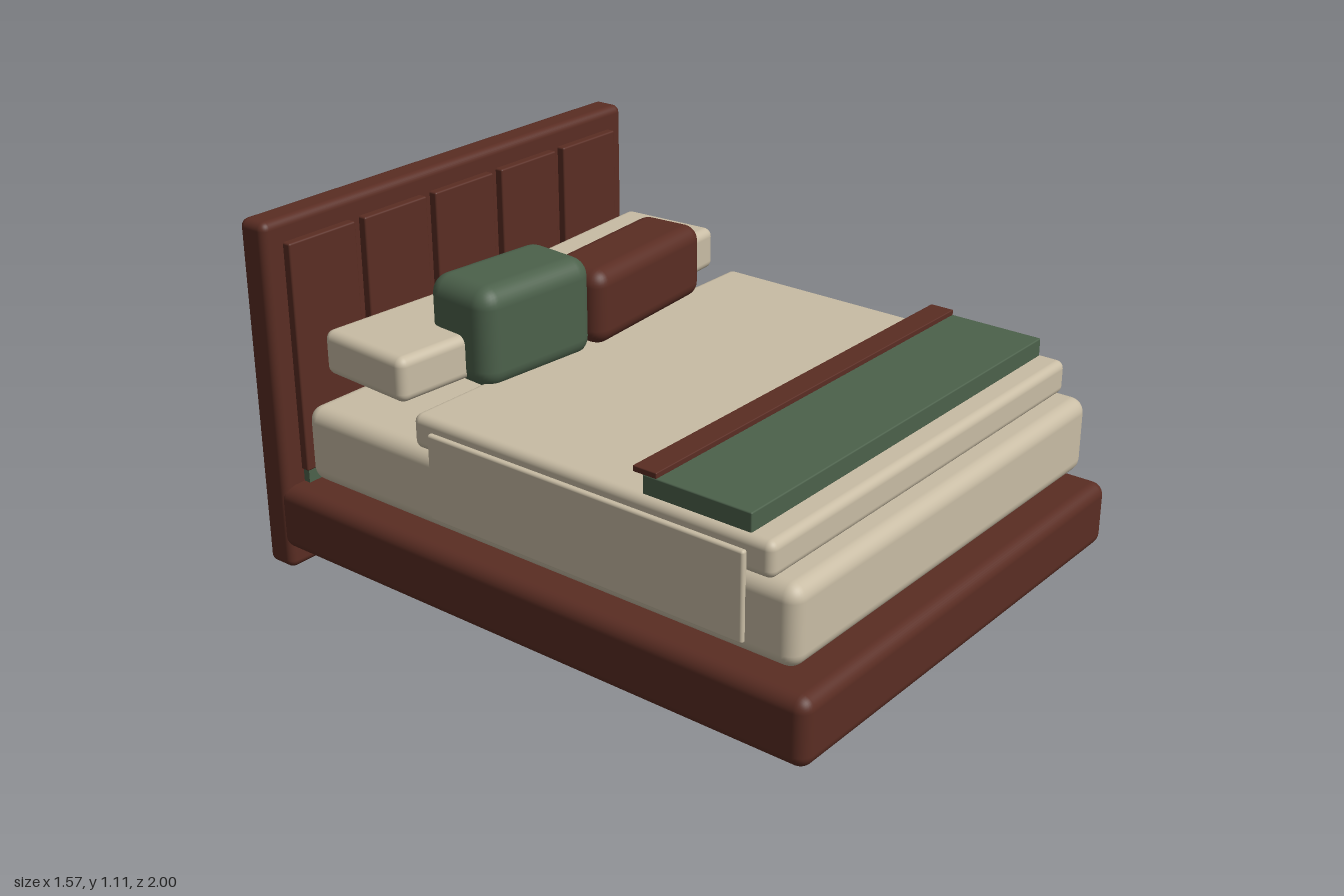
import * as THREE from 'three';
import { RoundedBoxGeometry } from 'three/addons/geometries/RoundedBoxGeometry.js';

const wood = new THREE.MeshStandardMaterial({ name: 'redBrown', color: 0x5a2d23 });
const linen = new THREE.MeshStandardMaterial({ name: 'cream', color: 0xc8bca4 });
const green = new THREE.MeshStandardMaterial({ name: 'mossGreen', color: 0x4c614b });

export function createModel() {
  const bed = new THREE.Group();
  bed.name = 'bed';

  // Box given by its extents on each axis, with rounded edges when r > 0
  function block(name, material, [x0, x1], [y0, y1], [z0, z1], r = 0, turn = 0) {
    const size = [x1 - x0, y1 - y0, z1 - z0];
    const geometry = r ? new RoundedBoxGeometry(...size, 4, r) : new THREE.BoxGeometry(...size);
    const mesh = new THREE.Mesh(geometry, material);
    mesh.name = name;
    mesh.position.set((x0 + x1) / 2, (y0 + y1) / 2, (z0 + z1) / 2);
    mesh.rotation.y = turn;
    bed.add(mesh);
    return mesh;
  }

  // Frame and headboard
  block('base', wood, [-0.785, 0.785], [0.068, 0.275], [-0.94, 1], 0.04);
  block('headboard', wood, [-0.785, 0.785], [0, 1.105], [-1, -0.895], 0.025);
  block('headboardRail', green, [-0.71, 0.71], [0.26, 0.33], [-0.9, -0.872]);
  for (let i = -2; i <= 2; i++) {
    const x = i * 0.294;
    block('headboardPanel', wood, [x - 0.128, x + 0.128], [0.315, 1.035], [-0.905, -0.868], 0.006);
  }

  // Feet
  for (const x of [-0.61, 0.61]) {
    for (const z of [-0.735, 0.74]) {
      const foot = new THREE.Mesh(new THREE.CylinderGeometry(0.036, 0.036, 0.09, 20), green);
      foot.name = 'foot';
      foot.position.set(x, 0.045, z);
      bed.add(foot);
    }
  }

  // Mattress, duvet and its hanging sides
  block('mattress', linen, [-0.743, 0.743], [0.312, 0.55], [-0.83, 0.935], 0.045);
  block('duvet', linen, [-0.735, 0.735], [0.545, 0.65], [-0.387, 0.855], 0.025);
  for (const s of [-1, 1]) {
    block('duvetSide', linen, [s * 0.745 - 0.01, s * 0.745 + 0.01], [0.35, 0.615], [-0.312, 0.78], 0.008);
  }

  // Folded throw with a trim along its edge
  block('throwBlanket', green, [-0.715, 0.715], [0.648, 0.705], [0.428, 0.776], 0.004);
  block('throwTrim', wood, [-0.715, 0.715], [0.703, 0.721], [0.396, 0.474], 0.003);

  // Sleeping pillows
  for (const s of [-1, 1]) {
    const x = s * 0.378;
    block('pillow', linen, [x - 0.325, x + 0.325], [0.648, 0.786], [-0.763, -0.42], 0.028, s * 0.07);
  }

  // Accent cushions
  block('squareCushion', green, [-0.472, -0.04], [0.627, 0.938], [-0.577, -0.315], 0.06, -0.085);
  block('lumbarCushion', wood, [-0.073, 0.483], [0.65, 0.887], [-0.518, -0.292], 0.05, 0.085);

  return bed;
}
